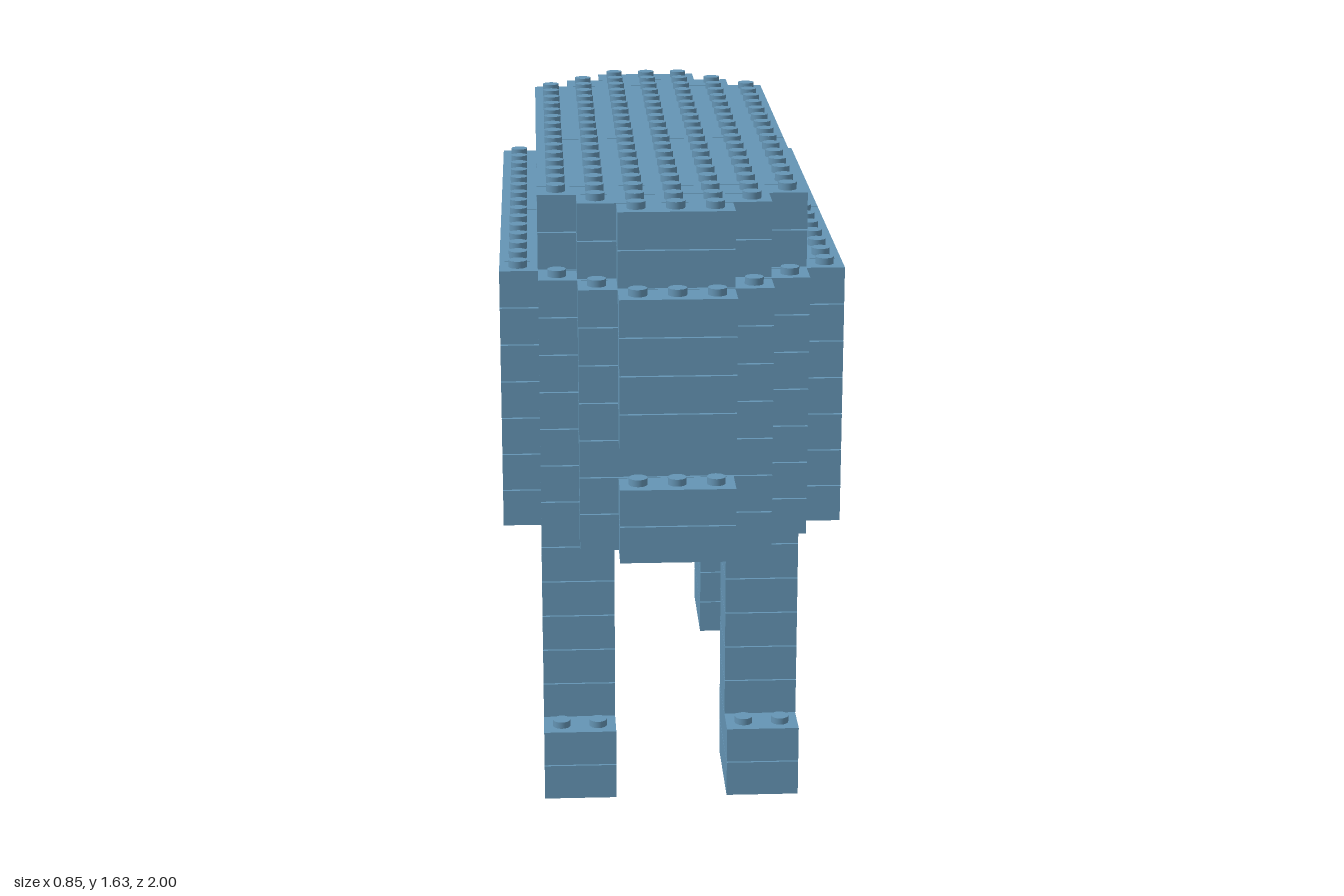
import * as THREE from 'three';
import { mergeGeometries } from 'three/addons/utils/BufferGeometryUtils.js';

const U = 2 / 21;      // stud pitch, also the brick height
const GAP = 0.003;     // seam between neighbouring bricks

// Brick from grid limits: x and z in stud units, y as a layer index
function brick(x0, x1, z0, z1, layer) {
  return new THREE.BoxGeometry((x1 - x0) * U - GAP, U - GAP, (z1 - z0) * U - GAP)
    .translate((x0 + x1) / 2 * U, (layer + 0.5) * U, (z0 + z1) / 2 * U);
}

// Stud standing on top of the given number of layers
function stud(x, z, layers) {
  return new THREE.CylinderGeometry(0.023, 0.023, 0.02, 16)
    .translate(x * U, layers * U + 0.006, z * U);
}

// Half width in studs of the stepped body outline at row z
const halfWidth = z => 4 - Math.max(0, Math.abs(z) - 7);

export function createModel() {
  const group = new THREE.Group();
  group.name = 'brickAnimalBody';
  const blue = new THREE.MeshStandardMaterial({ color: 0x6494b4 });
  blue.name = 'dusty blue';
  const add = (name, parts) => {
    const mesh = new THREE.Mesh(mergeGeometries(parts), blue);
    mesh.name = name;
    group.add(mesh);
  };

  // Body layers 8-14, narrower back layers 15-16
  for (let layer = 8; layer < 17; layer++) {
    const inset = layer > 14 ? 1 : 0;
    const parts = [];
    // Long middle bricks, split at staggered seams
    const seams = layer === 13 ? [-7.5, -1.5, -0.5, 7.5] : [-7.5, 0.5, 6.5, 7.5];
    const w = 4.5 - inset;
    for (let i = 0; i < 3; i++) parts.push(brick(-w, w, seams[i], seams[i + 1], layer));
    // Stepped rows at both ends
    for (const side of [-1, 1]) {
      for (let row = 8; row <= 10 - inset; row++) {
        if (side > 0 && row === 10 && layer === 10) continue; // mouth slot
        const r = halfWidth(row) - inset + 0.5, z = side * row;
        parts.push(brick(-r, r, z - 0.5, z + 0.5, layer));
      }
    }
    add(inset ? 'backLayer' : 'bodyLayer', parts);
  }

  // Studs on the back, and on the shoulder ledge around it
  const backStuds = [], ledgeStuds = [];
  for (let z = -10; z <= 10; z++) {
    const h = halfWidth(z);
    for (let x = -h; x <= h; x++) {
      const covered = Math.abs(z) < 10 && Math.abs(x) < h;
      (covered ? backStuds : ledgeStuds).push(stud(x, z, covered ? 17 : 15));
    }
  }
  add('backStuds', backStuds);
  add('ledgeStuds', ledgeStuds);
  add('lowerLipStuds', [-1, 0, 1].map(x => stud(x, 10, 10)));

  // Four legs; the feet are one stud longer, toes pointing outward
  for (const sx of [-1, 1]) {
    for (const sz of [-1, 1]) {
      const parts = [];
      for (let layer = 0; layer < 8; layer++) {
        const a = sz * 4.5, b = sz * (layer < 2 ? 7.5 : 6.5);
        parts.push(brick(sx * 2.5 - 1, sx * 2.5 + 1, Math.min(a, b), Math.max(a, b), layer));
      }
      for (const x of [2, 3]) parts.push(stud(sx * x, sz * 7, 2));
      add((sz > 0 ? 'front' : 'back') + (sx > 0 ? 'Left' : 'Right') + 'Leg', parts);
    }
  }
  return group;
}
